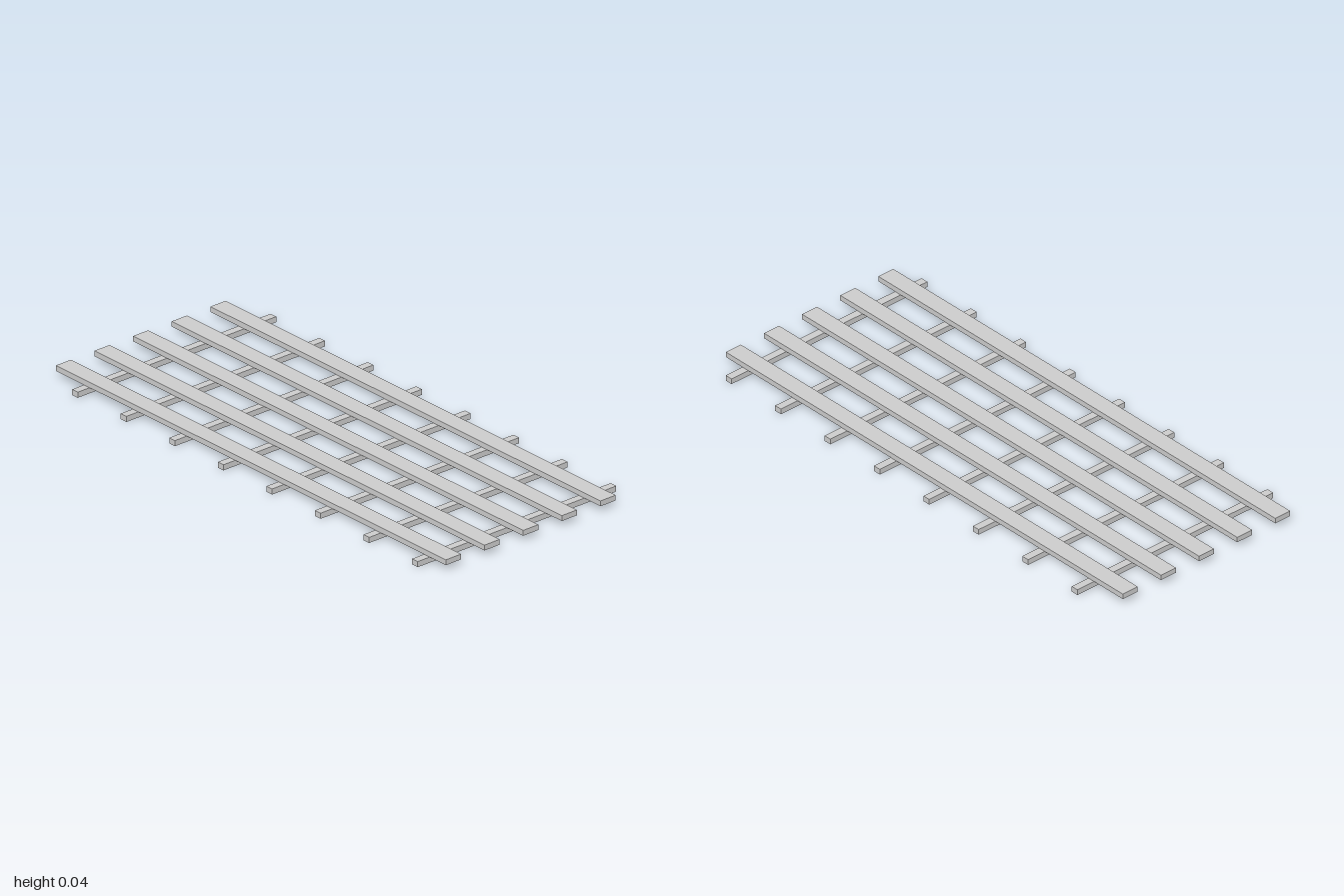
import * as THREE from 'three';

export function createModel() {
  const model = new THREE.Group();
  model.name = 'slattedPanel';
  const material = new THREE.MeshStandardMaterial({ color: 0xcccccc });

  // Repeats one bar, given the centre of the first and the step to the next
  function addBars(name, count, size, start, step) {
    const group = new THREE.Group();
    group.name = name + 's';
    const geometry = new THREE.BoxGeometry(...size);
    for (let i = 0; i < count; i++) {
      const bar = new THREE.Mesh(geometry, material);
      bar.name = name + (i + 1);
      bar.position.set(...start).addScaledVector(step, i);
      group.add(bar);
    }
    model.add(group);
  }

  // Narrow cross battens lying on the ground
  addBars('crossBatten', 8, [0.029, 0.021, 0.89], [-0.841, 0.0105, 0], new THREE.Vector3(0.249, 0, 0));

  // Wide long slats resting on the battens
  addBars('longSlat', 5, [2, 0.02, 0.068], [0, 0.031, 0.358], new THREE.Vector3(0, 0, -0.1733));

  return model;
}
